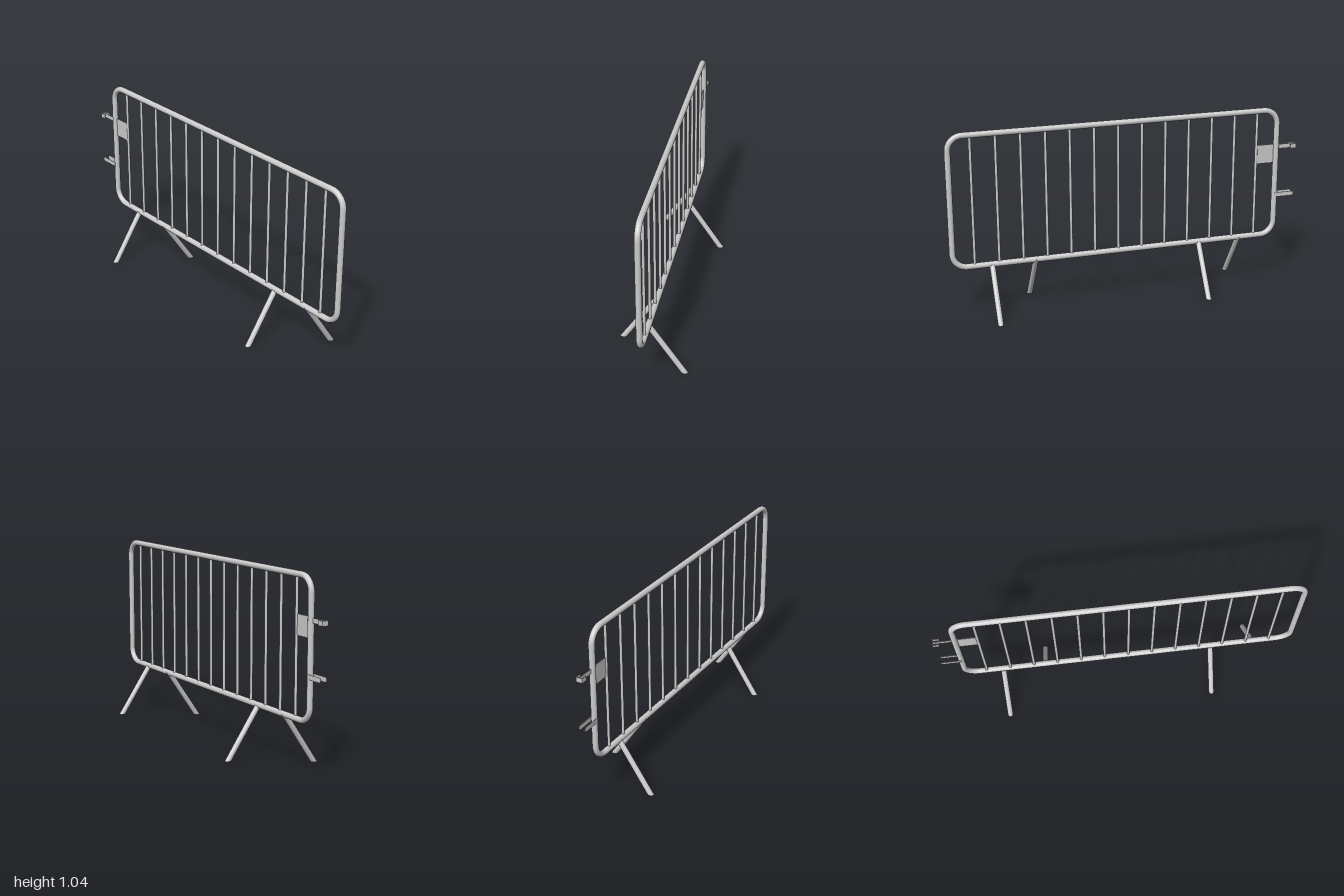
import * as THREE from 'three';

const steel = new THREE.MeshStandardMaterial({ color: 0xcccccc });
const sheet = new THREE.MeshStandardMaterial({ color: 0xcccccc, side: THREE.DoubleSide });

// Frame centre line, corner radius and tube radius
const L = -0.883, R = 0.983, B = 0.28, T = 1.02, CORNER = 0.08, TUBE = 0.0165;

function add(parent, name, geometry, x = 0, y = 0, z = 0, material = steel) {
  const mesh = new THREE.Mesh(geometry, material);
  mesh.name = name;
  mesh.position.set(x, y, z);
  parent.add(mesh);
  return mesh;
}

// Rounded rectangle of bent tube: four straights and four quarter bends
function makeFrame() {
  const frame = new THREE.Group();
  frame.name = 'frame';
  const w = R - L - 2 * CORNER, h = T - B - 2 * CORNER;
  const cx = (L + R) / 2, cy = (B + T) / 2;
  for (const y of [B, T]) {
    add(frame, 'rail', new THREE.CylinderGeometry(TUBE, TUBE, w, 20, 1, true).rotateZ(Math.PI / 2), cx, y);
  }
  for (const x of [L, R]) {
    add(frame, 'upright', new THREE.CylinderGeometry(TUBE, TUBE, h, 20, 1, true), x, cy);
  }
  const corners = [[1, 1], [-1, 1], [-1, -1], [1, -1]];
  corners.forEach(([sx, sy], i) => {
    const bend = new THREE.TorusGeometry(CORNER, TUBE, 20, 12, Math.PI / 2).rotateZ(i * Math.PI / 2);
    add(frame, 'cornerBend', bend, cx + sx * w / 2, cy + sy * h / 2);
  });
  return frame;
}

// Slanted tube leg whose ends are cut level with the ground
function makeLeg(side) {
  const spread = 0.19, height = B;
  const geo = new THREE.CylinderGeometry(0.0155, 0.0155, height, 20);
  const lean = Math.hypot(spread, height) / height;
  geo.scale(1, 1, lean).translate(0, height / 2, 0);
  const p = geo.attributes.position;
  for (let i = 0; i < p.count; i++) {
    p.setZ(i, p.getZ(i) + side * spread * (1 - p.getY(i) / height));
  }
  geo.computeVertexNormals();
  return geo;
}

// Flat prong with a rounded tip pointing to -x
function makeProng(length, height, thickness) {
  const r = height / 2;
  const s = new THREE.Shape();
  s.moveTo(0, -r);
  s.lineTo(0, r);
  s.lineTo(r - length, r);
  s.absarc(r - length, 0, r, Math.PI / 2, Math.PI * 1.5, false);
  s.closePath();
  return new THREE.ExtrudeGeometry(s, { depth: thickness, bevelEnabled: false, curveSegments: 10 })
    .translate(0, 0, -thickness / 2);
}

export function createModel() {
  const model = new THREE.Group();
  model.name = 'crowdBarrier';
  model.add(makeFrame());

  // Thin infill bars
  for (let i = 0; i < 13; i++) {
    add(model, 'bar', new THREE.CylinderGeometry(0.008, 0.008, T - B, 14), -0.762 + i * 0.1354, (T + B) / 2);
  }

  // Legs in two splayed pairs
  for (const x of [-0.668, 0.524]) add(model, 'frontLeg', makeLeg(1), x);
  for (const x of [-0.425, 0.768]) add(model, 'backLeg', makeLeg(-1), x);

  // Sign plate between the first upright and the first bar
  add(model, 'signPlate', new THREE.BoxGeometry(0.115, 0.11, 0.003), -0.82, 0.765, 0, sheet);

  // Upper coupling: tongue with a folded end
  const hook = new THREE.Group();
  hook.name = 'upperCoupling';
  hook.position.y = 0.803;
  add(hook, 'tongue', new THREE.BoxGeometry(0.11, 0.026, 0.003), -0.943, 0, 0, sheet);
  add(hook, 'endPlate', new THREE.BoxGeometry(0.003, 0.026, 0.036), -0.9985, 0, 0, sheet);
  for (const s of [-1, 1]) {
    add(hook, 'lip', new THREE.BoxGeometry(0.036, 0.026, 0.003), -0.982, 0, s * 0.0165, sheet);
  }
  model.add(hook);

  // Lower coupling: a pair of parallel prongs gripping the upright
  const fork = new THREE.Group();
  fork.name = 'lowerCoupling';
  for (const s of [-1, 1]) {
    add(fork, 'prong', makeProng(0.115, 0.026, 0.003), -0.88, 0.52, s * 0.0175, sheet);
  }
  model.add(fork);

  return model;
}
